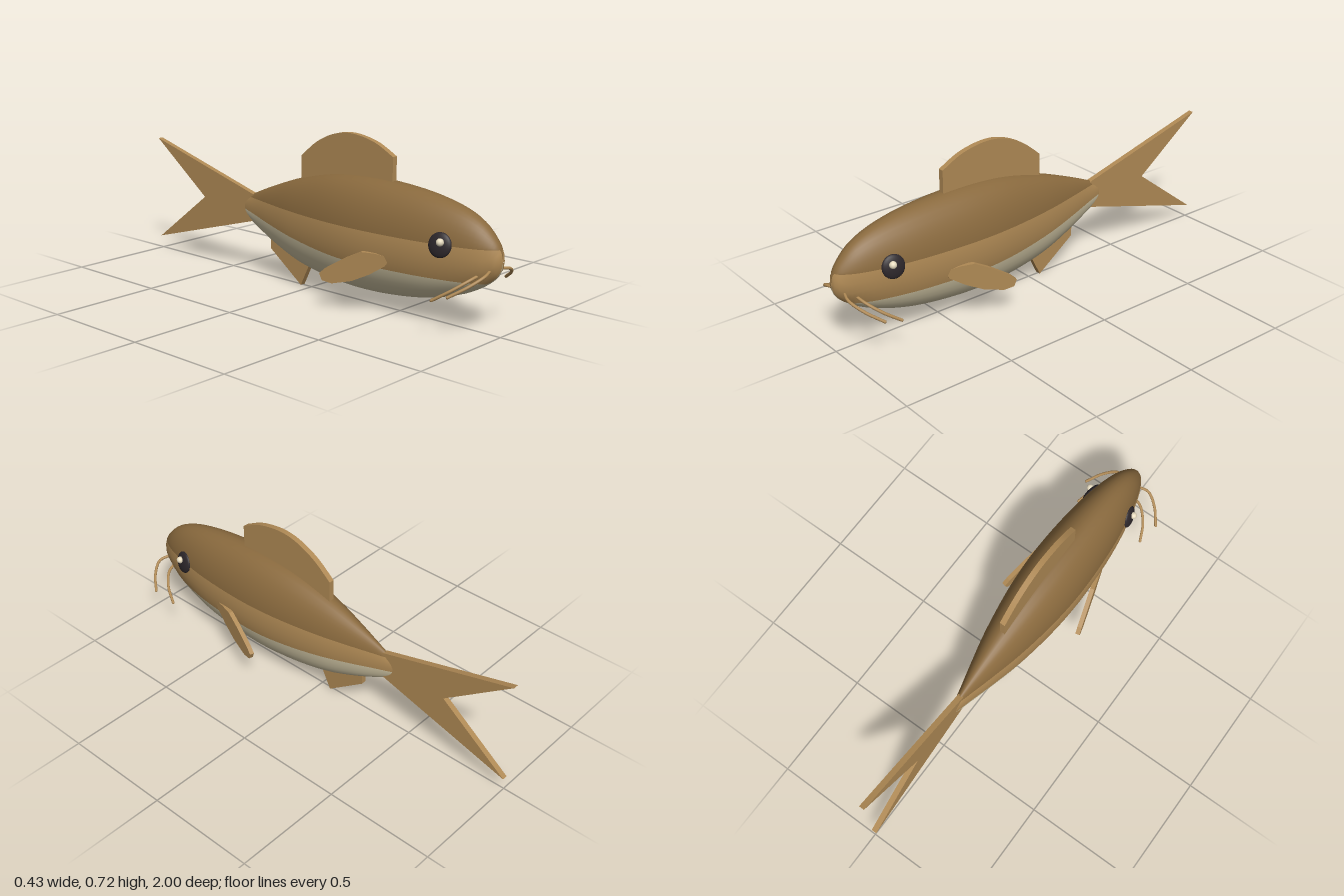
import * as THREE from 'three';

const mat = (name, color) => {
  const m = new THREE.MeshStandardMaterial({ color });
  m.name = name;
  return m;
};

// z, top, bottom, half width: nose to tail
const STATIONS = [
  [1.0, 0.306, 0.302, 0.002],
  [0.992, 0.345, 0.262, 0.023],
  [0.965, 0.39, 0.225, 0.045],
  [0.9, 0.45, 0.178, 0.074],
  [0.8, 0.495, 0.132, 0.101],
  [0.65, 0.527, 0.09, 0.127],
  [0.47, 0.544, 0.066, 0.141],
  [0.3, 0.546, 0.06, 0.142],
  [0.13, 0.53, 0.072, 0.127],
  [-0.05, 0.487, 0.105, 0.098],
  [-0.2, 0.434, 0.158, 0.063],
  [-0.32, 0.385, 0.213, 0.032],
  [-0.4, 0.347, 0.258, 0.014],
  [-0.425, 0.326, 0.282, 0.008],
  [-0.433, 0.306, 0.302, 0.002],
];

function bodyGeometry() {
  const spline = (f) => new THREE.CatmullRomCurve3(STATIONS.map(f), false, 'catmullrom', 0.5);
  const size = spline(([, t, b, w]) => new THREE.Vector3(w, (t + b) / 2, (t - b) / 2));
  const along = spline(([z]) => new THREE.Vector3(0, 0, z));
  const rows = 56;
  const steps = [8, 4, 8]; // back, flank and belly strips on each side
  const half = 20, N = half * 2;
  const pos = [];
  for (let i = 0; i <= rows; i++) {
    const s = size.getPoint(i / rows), z = along.getPoint(i / rows).z;
    // heights where the colours change
    const bellyLine = 0.207 + 0.09 * Math.pow(Math.max(0, (0.3 - z) / 0.73), 1.4);
    const angleAt = (y) => Math.asin(THREE.MathUtils.clamp((y - s.y) / s.z, -0.985, 0.985));
    const marks = [Math.PI / 2, angleAt(0.352), angleAt(bellyLine), -Math.PI / 2];
    const angles = [];
    steps.forEach((n, k) => {
      for (let j = 0; j < n; j++) angles.push(THREE.MathUtils.lerp(marks[k], marks[k + 1], j / n));
    });
    angles.push(marks[3]);
    for (let j = 0; j < N; j++) {
      const a = angles[j <= half ? j : N - j], side = j <= half ? 1 : -1;
      pos.push(side * s.x * Math.cos(a), s.y + s.z * Math.sin(a), z);
    }
  }
  const strips = [[], [], []];
  for (let i = 0; i < rows; i++) {
    for (let j = 0; j < N; j++) {
      const m = j < half ? j : N - 1 - j;
      const k = m < 8 ? 0 : m < 12 ? 1 : 2;
      const a = i * N + j, b = i * N + ((j + 1) % N);
      strips[k].push(a, b, a + N, b, b + N, a + N);
    }
  }
  const g = new THREE.BufferGeometry();
  g.setAttribute('position', new THREE.Float32BufferAttribute(pos, 3));
  g.setIndex(strips.flat());
  let start = 0;
  strips.forEach((s, k) => { g.addGroup(start, s.length, k); start += s.length; });
  g.computeVertexNormals();
  return g;
}

// Flat plate standing in the z-y plane, centred on x = 0
function plate(shape, thickness) {
  const g = new THREE.ExtrudeGeometry(shape, { depth: thickness, bevelEnabled: false, curveSegments: 16 });
  g.translate(0, 0, -thickness / 2);
  return g.rotateY(-Math.PI / 2);
}
const outline = (pts) => new THREE.Shape(pts.map(([z, y]) => new THREE.Vector2(z, y)));

export function createModel() {
  const back = mat('back brown', 0x8a6a3e);
  const flank = mat('flank and fin tan', 0xb08a55);
  const belly = mat('belly cream', 0xd0c5a4);
  const black = mat('eye black', 0x2c262a);
  const glint = mat('eye glint', 0xe8dcc0);

  const model = new THREE.Group();
  model.name = 'fish';
  const add = (name, geometry, material) => {
    const mesh = new THREE.Mesh(geometry, material);
    mesh.name = name;
    model.add(mesh);
    return mesh;
  };

  add('body', bodyGeometry(), [back, flank, belly]);

  // Fins on the centre line
  const dorsal = new THREE.Shape();
  dorsal.moveTo(0.46, 0.5);
  dorsal.lineTo(0.46, 0.645);
  dorsal.splineThru([[0.36, 0.694], [0.24, 0.716], [0.14, 0.703], [0.04, 0.657], [-0.05, 0.585]]
    .map(([z, y]) => new THREE.Vector2(z, y)));
  dorsal.lineTo(-0.05, 0.45);
  add('dorsalFin', plate(dorsal, 0.025), flank);
  add('analFin', plate(outline([[0.01, 0.13], [-0.055, 0], [-0.24, 0.135], [-0.24, 0.21]]), 0.025), flank);
  add('tailFin', plate(outline([[-0.35, 0.367], [-1, 0.547], [-0.675, 0.305], [-1, 0.06], [-0.35, 0.243]]), 0.025), flank);

  for (const side of [1, -1]) {
    const label = side > 0 ? 'left' : 'right';

    // Paired fin, swung outward from its front edge
    const fin = plate(outline([
      [0.04, 0.262], [-0.03, 0.271], [-0.09, 0.27], [-0.16, 0.236], [-0.25, 0.182], [-0.277, 0.157],
      [-0.265, 0.128], [-0.22, 0.12], [-0.13, 0.142], [-0.05, 0.18], [0.02, 0.225],
    ]), 0.02);
    fin.rotateY(-0.28 * side).translate(0.13 * side, 0, 0.505);
    add(label + 'PectoralFin', fin, flank);

    // Eye disc facing along the head's surface, with a small glint
    const eye = add(label + 'Eye', new THREE.SphereGeometry(1, 24, 16).scale(0.016, 0.051, 0.05), black);
    eye.position.set(0.104 * side, 0.352, 0.775);
    eye.rotation.set(0, -0.2 * side, 0.2 * side);
    const spark = add(label + 'EyeGlint', new THREE.SphereGeometry(0.016, 16, 12), glint);
    spark.position.set(0.118 * side, 0.367, 0.785);

    // Whiskers
    const whiskers = {
      UpperWhisker: [[0.03, 0.267, 0.962], [0.085, 0.258, 0.975], [0.145, 0.224, 0.943], [0.196, 0.183, 0.885]],
      LowerWhisker: [[0.045, 0.243, 0.918], [0.09, 0.229, 0.906], [0.142, 0.19, 0.858], [0.175, 0.147, 0.793]],
    };
    for (const [name, pts] of Object.entries(whiskers)) {
      const path = new THREE.CatmullRomCurve3(pts.map(([x, y, z]) => new THREE.Vector3(x * side, y, z)));
      add(label + name, new THREE.TubeGeometry(path, 20, 0.0065, 8), flank);
      for (const p of [0, 1]) {
        const tip = add(label + name + 'End', new THREE.SphereGeometry(0.0065, 8, 6), flank);
        tip.position.copy(path.getPoint(p));
      }
    }
  }
  return model;
}
